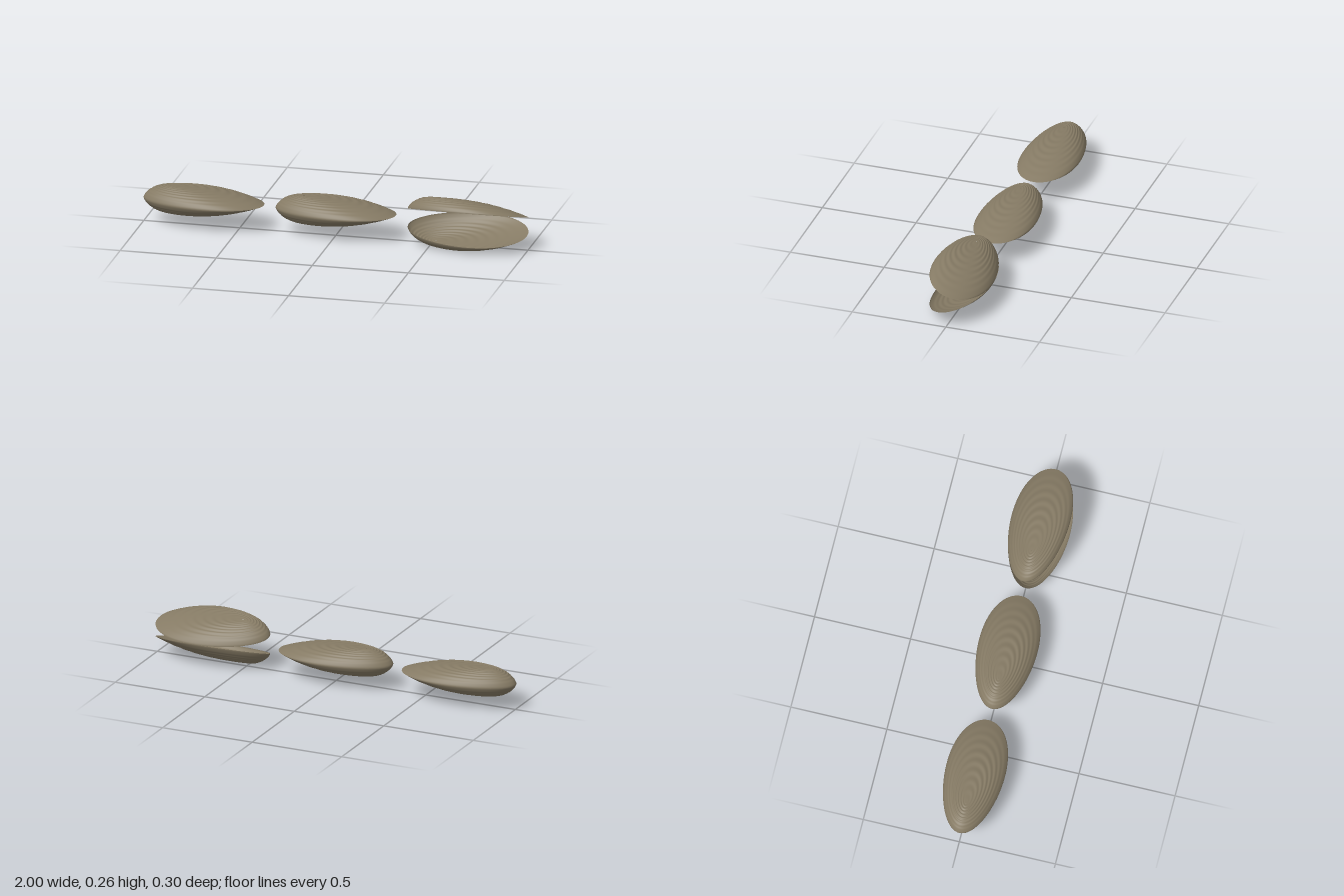
import * as THREE from 'three';
import { ParametricGeometry } from 'three/addons/geometries/ParametricGeometry.js';

const HALF_LENGTH = 0.3125, HALF_WIDTH = 0.151, DOME = 0.07;
const UMBO_X = -0.168;   // centre of the growth rings
const SEAM_Y = 0.13;     // height of the line where the valves meet
const OPEN_SLOPE = 0.298;

// One valve: egg-shaped rim, domed over the umbo, with concentric growth ridges.
// side is +1 for the upper valve and -1 for the lower; slope tilts it from the back hinge.
function valveGeometry(side, slope) {
  return new ParametricGeometry((u, v, target) => {
    const a = side * u * Math.PI * 2;
    const t = 0.01 + 0.99 * v;
    const rimX = HALF_LENGTH * Math.cos(a);
    const rimZ = HALF_WIDTH * Math.sin(a) * (1 + 0.12 * Math.cos(a));
    const x = UMBO_X + t * (rimX - UMBO_X);
    const z = t * rimZ;

    // the long end thins out gently, the other edges are blunt
    const power = 0.72 + 0.28 * Math.max(0, Math.cos(a)) ** 2;
    const dome = DOME * Math.max(0, 1 - t ** 2.5) ** power;
    const ridge = 0.0014 * Math.sin(t * Math.PI * 18) * Math.sin(Math.PI * Math.min(t, 1));
    const y = dome + ridge + slope * (z + HALF_WIDTH);
    target.set(x, side * y, z);
  }, 72, 56);
}

export function createModel() {
  const model = new THREE.Group();
  model.name = 'shells';
  const material = new THREE.MeshStandardMaterial({
    color: 0x857a64, side: THREE.DoubleSide,
  });

  // Two closed shells and one gaping shell in a row
  const shells = [
    { name: 'closedShellRight', x: -0.6875, slope: 0 },
    { name: 'closedShellMiddle', x: 0, slope: 0 },
    { name: 'openShellLeft', x: 0.6875, slope: OPEN_SLOPE },
  ];
  for (const { name, x, slope } of shells) {
    const shell = new THREE.Group();
    shell.name = name;
    shell.position.set(x, SEAM_Y, 0);
    for (const side of [1, -1]) {
      const valve = new THREE.Mesh(valveGeometry(side, slope), material);
      valve.name = side > 0 ? 'upperValve' : 'lowerValve';
      shell.add(valve);
    }
    model.add(shell);
  }
  return model;
}
